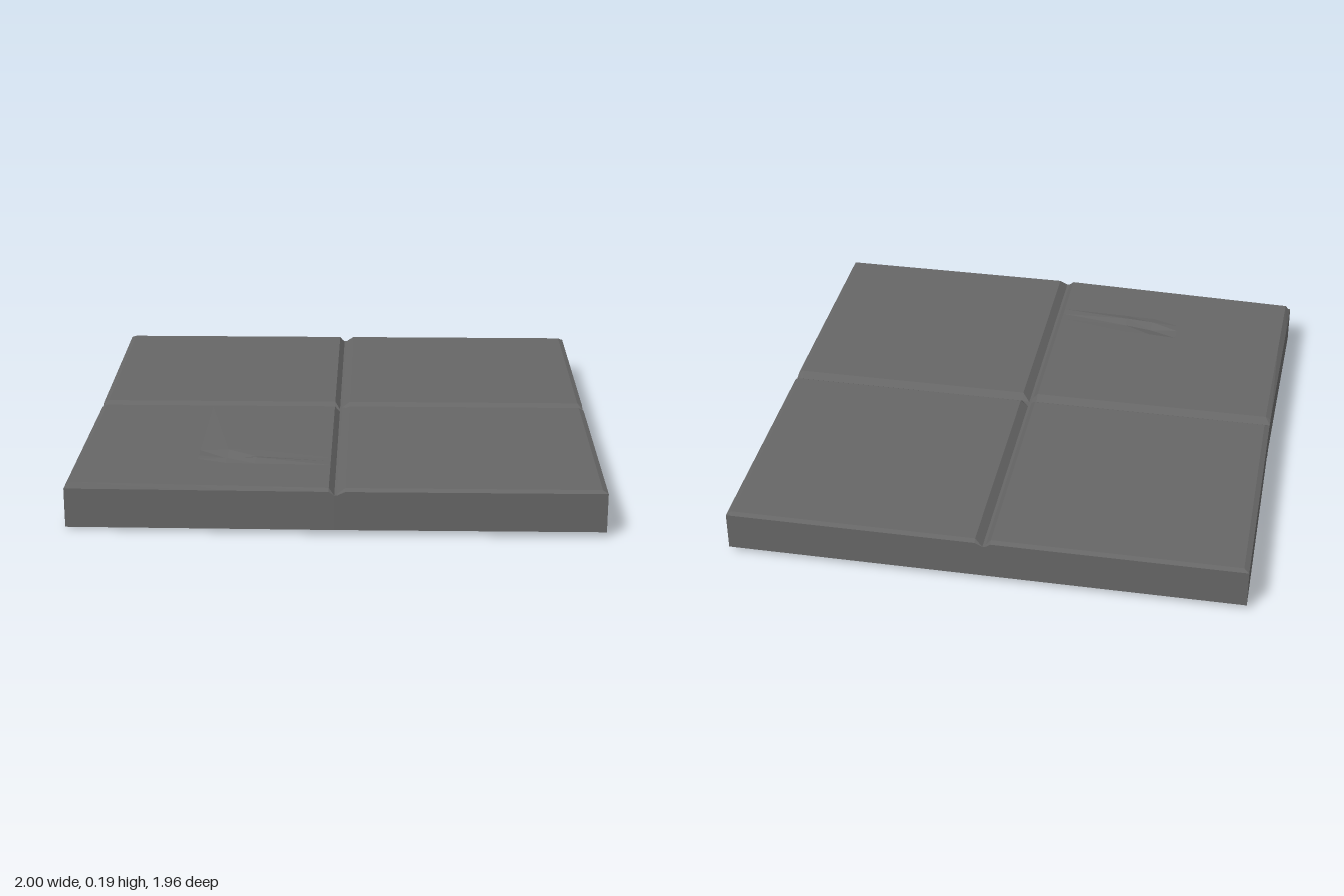
import * as THREE from 'three';

// Grid lines of the slab: bevels, grooves and the chipped spot
const XS = [-0.98, -0.96, -0.52, -0.41, -0.3, -0.02, 0, 0.01, 0.04, 0.98, 1];
const ZS = [-0.98, -0.965, -0.03, 0, 0.03, 0.58, 0.64, 0.68, 0.72, 0.96, 0.975];
const TOP = 0.18, BASE = 0.02;

// Heights of the chip, keyed by column and row
const CHIP = {
  '3,5': 0.004, '4,5': 0.004, '3,6': -0.012,
  '3,7': 0.006, '4,7': 0.011,
};

// How far a point belongs to the skewed front corner (0..1)
const skew = (x, z) => Math.max(0, -x) * Math.max(0, z);

function point(i, j, top) {
  const x = XS[i], z = ZS[j], s = skew(x, z);
  let y;
  if (top) {
    const edge = i === 0 || i === XS.length - 1 || j === 0 || j === ZS.length - 1;
    const groove = Math.max(x === 0 || x === 0.01 ? 0.024 : 0, z === 0 ? 0.02 : 0);
    y = TOP - Math.max(groove, edge ? 0.01 + 0.012 * s : 0) + (CHIP[`${i},${j}`] || 0);
  } else {
    // a small ridge runs across the underside
    y = z === 0 ? 0 : BASE - 0.014 * s;
  }
  return [x - 0.021 * s, y, z - 0.045 * s];
}

function slabGeometry() {
  const pos = [];
  const quad = (a, b, c, d) => pos.push(...a, ...b, ...c, ...a, ...c, ...d);
  const nx = XS.length - 1, nz = ZS.length - 1;
  // top and underside
  for (let i = 0; i < nx; i++) {
    for (let j = 0; j < nz; j++) {
      quad(point(i, j, true), point(i, j + 1, true), point(i + 1, j + 1, true), point(i + 1, j, true));
      quad(point(i, j, false), point(i + 1, j, false), point(i + 1, j + 1, false), point(i, j + 1, false));
    }
  }
  // side walls
  const wall = (i, j, k, l) =>
    quad(point(i, j, false), point(k, l, false), point(k, l, true), point(i, j, true));
  for (let i = 0; i < nx; i++) {
    wall(i, nz, i + 1, nz);
    wall(i + 1, 0, i, 0);
  }
  for (let j = 0; j < nz; j++) {
    wall(0, j, 0, j + 1);
    wall(nx, j + 1, nx, j);
  }
  const geometry = new THREE.BufferGeometry();
  geometry.setAttribute('position', new THREE.Float32BufferAttribute(pos, 3));
  geometry.computeVertexNormals();
  return geometry;
}

export function createModel() {
  const group = new THREE.Group();
  group.name = 'floorTile';
  const material = new THREE.MeshStandardMaterial({ color: 0x666666, flatShading: true });
  const slab = new THREE.Mesh(slabGeometry(), material);
  slab.name = 'groovedSlab';
  group.add(slab);
  return group;
}
